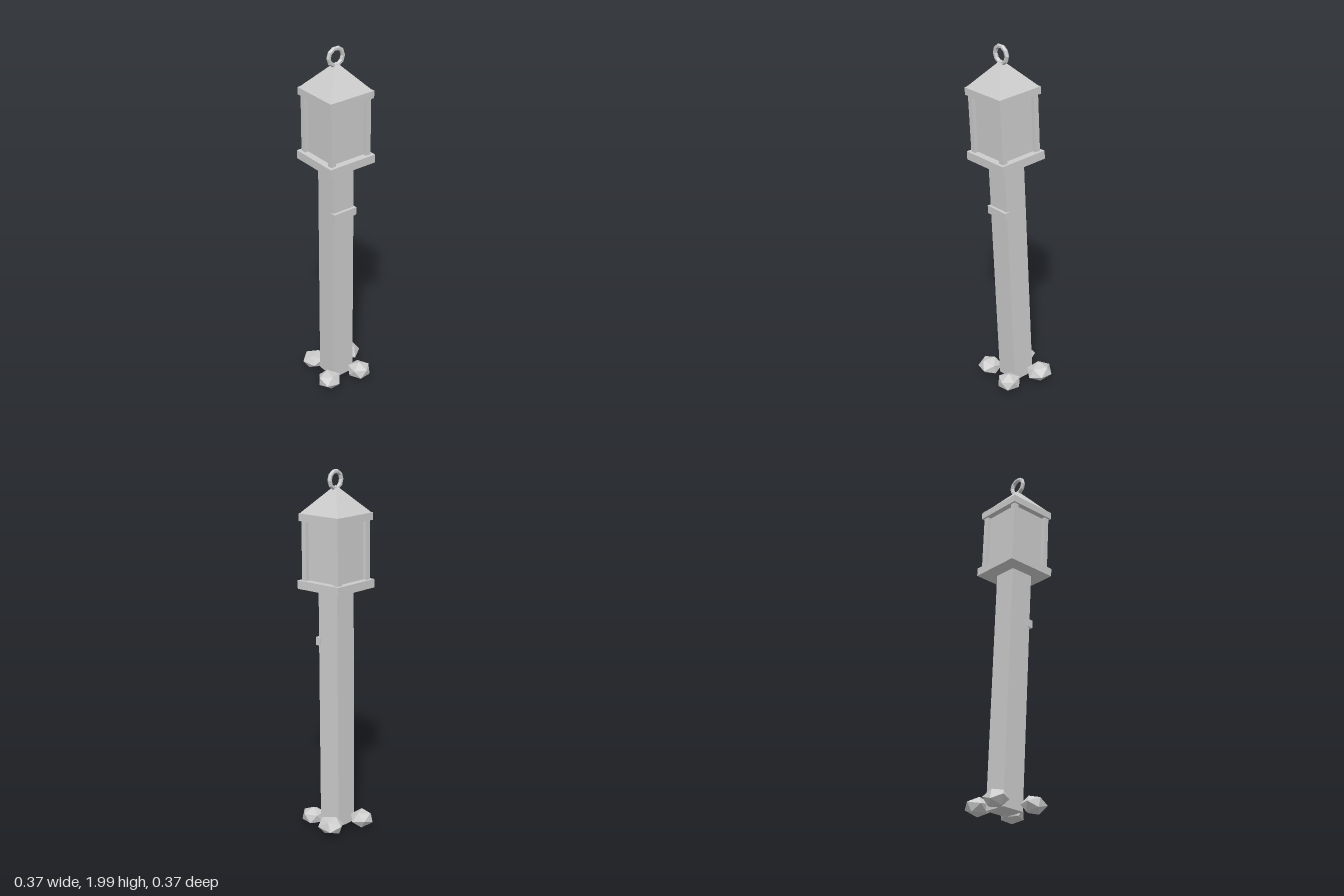
import * as THREE from 'three';

export function createModel() {
  const model = new THREE.Group();
  const stone = new THREE.MeshStandardMaterial({ color: 0xcccccc, flatShading: true });
  stone.name = 'pale stone';

  // Everything but the rocks leans slightly, pivoting at the foot of the post
  const lantern = new THREE.Group();
  lantern.name = 'leaningLantern';
  lantern.position.set(-0.005, 0.03, -0.007);
  lantern.rotation.set(0.031, 0, 0.025);
  model.add(lantern);

  const add = (parent, name, geometry, x, y, z) => {
    const mesh = new THREE.Mesh(geometry, stone);
    mesh.name = name;
    mesh.position.set(x, y, z);
    parent.add(mesh);
    return mesh;
  };
  // Box placed by its bottom height
  const box = (name, w, h, d, y, x = 0, z = 0) =>
    add(lantern, name, new THREE.BoxGeometry(w, h, d), x, y + h / 2, z);

  // Post and the small plaque on its front
  box('post', 0.132, 1.34, 0.132, 0);
  box('plaque', 0.145, 0.045, 0.03, 1.025, 0, 0.067);

  // Lantern housing
  box('housingFloor', 0.288, 0.046, 0.288, 1.338);
  box('lanternBody', 0.212, 0.32, 0.212, 1.38);
  for (const sx of [-1, 1]) {
    for (const sz of [-1, 1]) {
      box('cornerPost', 0.03, 0.325, 0.03, 1.378, sx * 0.112, sz * 0.112);
    }
  }
  box('eaves', 0.275, 0.04, 0.275, 1.7);

  // Pyramid roof
  const roof = new THREE.ConeGeometry(0.265 / Math.SQRT2, 0.145, 4);
  roof.rotateY(Math.PI / 4);
  add(lantern, 'roof', roof, 0, 1.813, 0);

  // Hanging ring
  add(lantern, 'ring', new THREE.TorusGeometry(0.045, 0.012, 6, 10), 0, 1.913, 0);

  // Faceted rocks round the foot: position, radii, turn
  const rocks = [
    [-0.075, 0.06, -0.125, 0.07, 0.05, 0.067, 0.4],
    [0.123, 0.07, -0.07, 0.07, 0.05, 0.08, 1.1],
    [0.068, 0.053, 0.11, 0.068, 0.05, 0.07, 2.0],
    [-0.125, 0.055, 0.085, 0.069, 0.05, 0.07, 2.9],
  ];
  for (const [x, y, z, rx, ry, rz, turn] of rocks) {
    const rock = new THREE.IcosahedronGeometry(1, 0);
    rock.rotateX(turn * 0.5).rotateY(turn).scale(rx, ry, rz);
    add(model, 'rock', rock, x, y, z);
  }

  return model;
}
